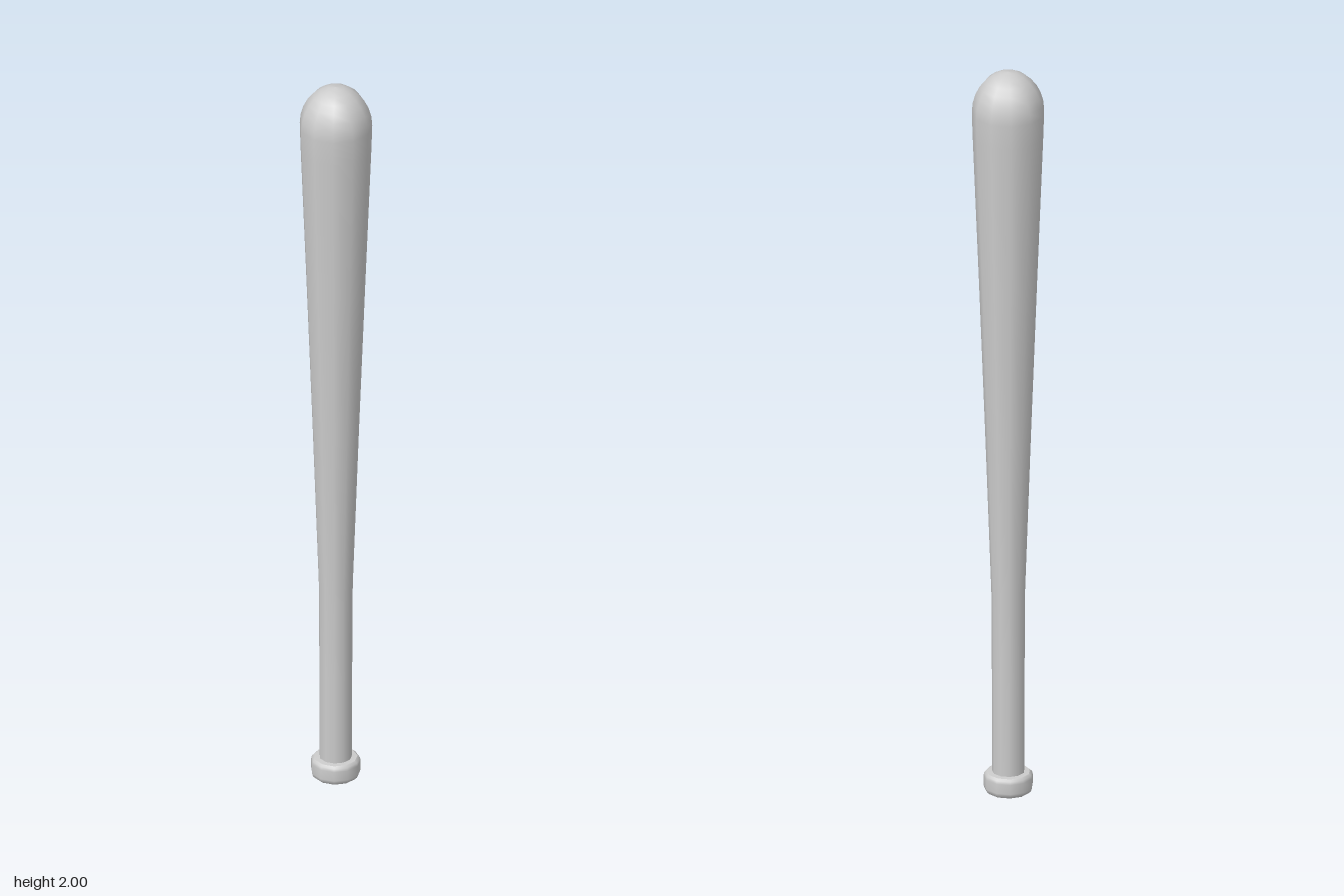
import * as THREE from 'three';

const SIDES = 11;

export function createModel() {
  const group = new THREE.Group();
  group.name = 'bat';
  const material = new THREE.MeshStandardMaterial({ color: 0xcccccc });

  // Turned part from [radius, height] pairs, bottom to top, one corner at the back
  const turned = (name, profile) => {
    const points = profile.map(([r, y]) => new THREE.Vector2(r, y));
    const mesh = new THREE.Mesh(new THREE.LatheGeometry(points, SIDES, Math.PI), material);
    mesh.name = name;
    mesh.position.z = 0.002;
    group.add(mesh);
  };

  // Knob: flat underside, rounded rim, shallow shoulder up to the handle
  turned('knobBase', [[0, 0], [0.056, 0]]);
  turned('knob', [[0.056, 0], [0.062, 0.006], [0.064, 0.014], [0.064, 0.04], [0.062, 0.048], [0.056, 0.053]]);
  turned('knobTop', [[0.056, 0.053], [0.042, 0.054]]);

  // Straight handle, tapered barrel and rounded tip in one smooth sweep
  const barrelR = 0.094, tipY = 1.885;
  const body = [[0.042, 0.05], [0.0425, 0.3], [0.044, 0.55], [0.06, 1], [0.076, 1.42], [0.092, 1.82]];
  const steps = 7;
  for (let i = 0; i <= steps; i++) {
    const a = (i / steps) * Math.PI / 2;
    body.push([i === steps ? 0 : barrelR * Math.cos(a), tipY + (2 - tipY) * Math.sin(a)]);
  }
  turned('handleAndBarrel', body);

  return group;
}
